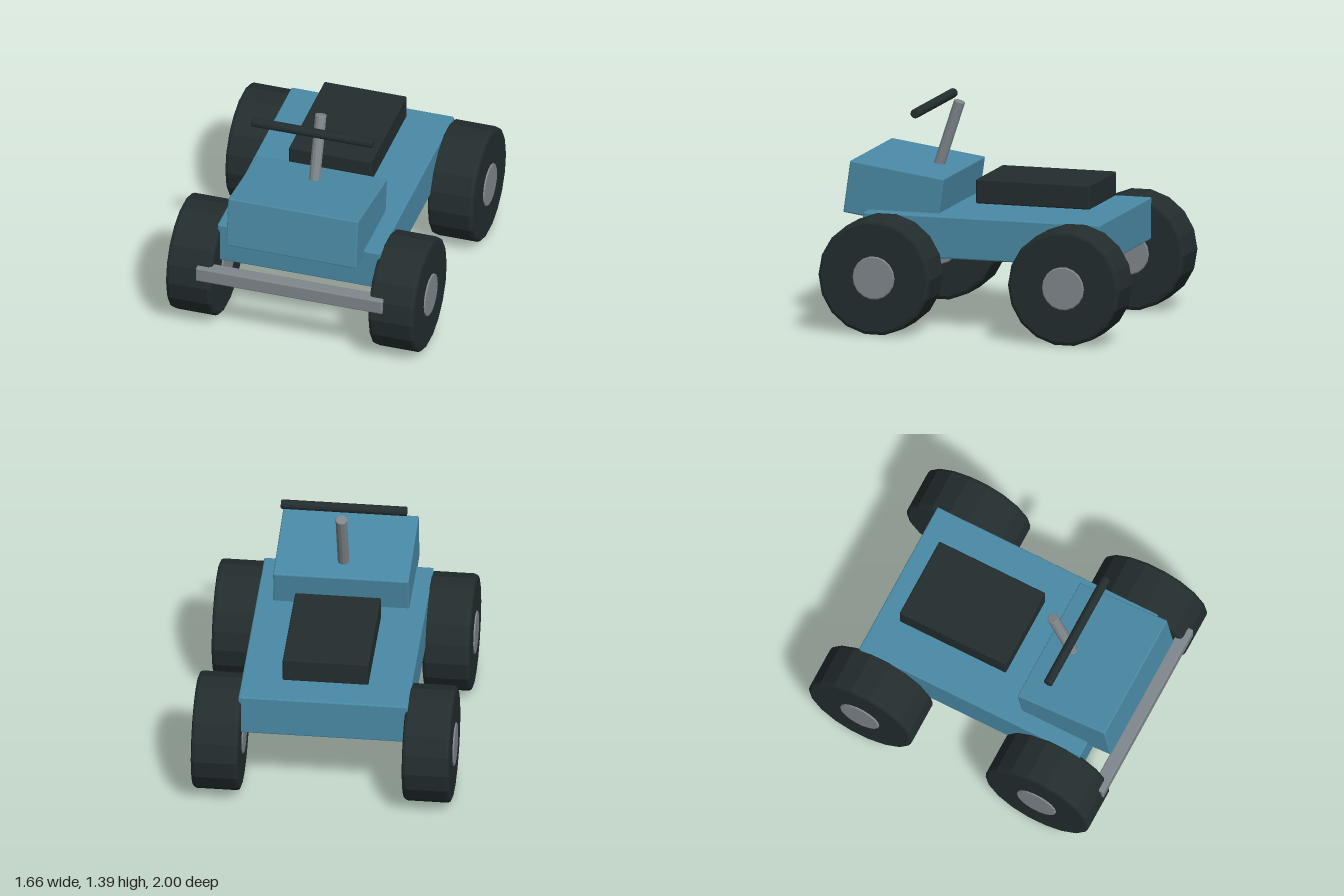
import * as THREE from 'three';
import { RoundedBoxGeometry } from 'three/addons/geometries/RoundedBoxGeometry.js';

export function createModel() {
  const model = new THREE.Group();
  const material = (name, color) => {
    const m = new THREE.MeshStandardMaterial({ color, flatShading: true });
    m.name = name;
    return m;
  };
  const blue = material('blue paint', 0x4a8aa6);
  const black = material('black rubber', 0x232d2e);
  const grey = material('grey metal', 0x80888d);

  const add = (name, geometry, mat, x, y, z, rotX = 0, rotZ = 0) => {
    const mesh = new THREE.Mesh(geometry, mat);
    mesh.name = name;
    mesh.position.set(x, y, z);
    mesh.rotation.set(rotX, 0, rotZ);
    model.add(mesh);
    return mesh;
  };
  const box = (w, h, d) => new RoundedBoxGeometry(w, h, d, 1, 0.008);

  // Solid disc or rod along y with a bevelled rim
  const rod = (r, length, bevel, sides) => {
    const h = length / 2;
    const b = bevel * 0.3;
    const profile = [
      [0, -h], [r - bevel, -h], [r - b, -h + b], [r, -h + bevel],
      [r, h - bevel], [r - b, h - b], [r - bevel, h], [0, h],
    ].map(([x, y]) => new THREE.Vector2(x, y));
    return new THREE.LatheGeometry(profile, sides);
  };

  // Body, tilted hood and seat
  add('chassis', box(1.075, 0.268, 1.57), blue, 0, 0.603, 0.005);
  add('hood', box(0.86, 0.336, 0.627), blue, 0, 0.834, 0.622, -0.138);
  add('seat', box(0.545, 0.155, 0.755), black, 0, 0.862, -0.252);
  add('bumper', box(1.234, 0.097, 0.085), grey, 0, 0.475, 0.957);

  // Steering
  add('steeringColumn', rod(0.037, 0.5, 0.005, 12), grey, 0, 1.148, 0.398, -0.318);
  add('handlebar', rod(0.03, 0.8, 0.006, 12), black, 0, 1.36, 0.49, 0, Math.PI / 2);

  // Four wheels, each a tyre with a hub through it
  const tyre = rod(0.372, 0.3, 0.024, 18);
  const hub = rod(0.139, 0.318, 0.008, 18);
  for (const [side, x] of [['left', 0.669], ['right', -0.669]]) {
    for (const [end, z] of [['Front', 0.628], ['Rear', -0.628]]) {
      add(`${side}${end}Tyre`, tyre, black, x, 0.372, z, 0, Math.PI / 2);
      add(`${side}${end}Hub`, hub, grey, x, 0.372, z, 0, Math.PI / 2);
    }
  }
  return model;
}
